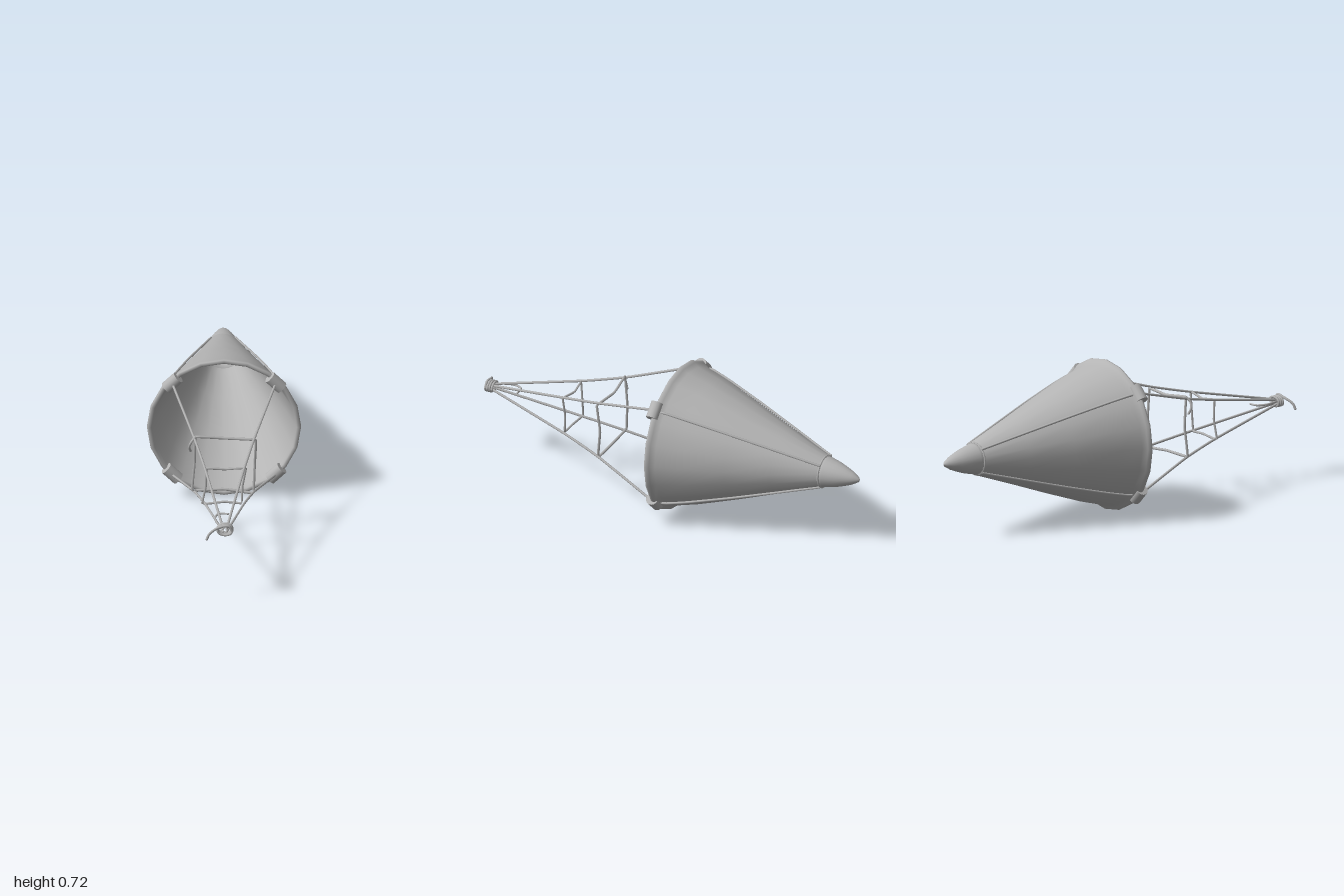
import * as THREE from 'three';

const CY = 0.363; // height of the long axis

export function createModel() {
  const model = new THREE.Group();
  const grey = new THREE.MeshStandardMaterial({ color: 0xb4b4b4, side: THREE.DoubleSide });
  grey.name = 'grey';

  const add = (name, geometry) => {
    const mesh = new THREE.Mesh(geometry, grey);
    mesh.name = name;
    model.add(mesh);
    return mesh;
  };

  // Revolve [radius, distance towards the back] pairs about the long axis
  const lathe = (name, pts, sides) => {
    const g = new THREE.LatheGeometry(pts.map(([r, h]) => new THREE.Vector2(r, h)), sides);
    g.rotateX(-Math.PI / 2);
    g.translate(0, CY, 0);
    return add(name, g);
  };

  // Rope through [x, y, z] points
  const rope = (name, pts, radius = 0.006, closed = false, tension = 0.2, steps = 6) => {
    const curve = new THREE.CatmullRomCurve3(
      pts.map((p) => new THREE.Vector3(...p)), closed, 'catmullrom', tension);
    add(name, new THREE.TubeGeometry(curve, pts.length * steps, radius, 6, closed));
    if (closed) return;
    for (const p of [pts[0], pts[pts.length - 1]]) {
      const end = new THREE.SphereGeometry(radius, 6, 4);
      end.translate(...p);
      add(name + 'End', end);
    }
  };

  // Thin-walled cone, flared into a rolled rim at the mouth
  lathe('cone', [
    [0.335, 0.06], [0.34, 0.046], [0.35, 0.041], [0.359, 0.046], [0.361, 0.056],
    [0.352, 0.068], [0.335, 0.09], [0.303, 0.2], [0.232, 0.4], [0.157, 0.6], [0.077, 0.82],
    [0.068, 0.82], [0.092, 0.75], [0.147, 0.6], [0.222, 0.4], [0.293, 0.2],
    [0.325, 0.09], [0.335, 0.06],
  ], 20);

  // Hollow rounded tip with an inner collar
  lathe('tip', [
    [0.062, 0.8], [0.076, 0.81], [0.073, 0.83], [0.061, 0.88], [0.047, 0.92],
    [0.031, 0.96], [0.013, 0.99], [0, 1],
  ], 20);
  lathe('tipCollar', [[0.09, 0.77], [0.064, 0.78], [0.06, 0.83], [0.03, 0.92]], 20);

  const band = new THREE.TorusGeometry(0.077, 0.005, 6, 20);
  band.translate(0, CY, -0.815);
  add('tipBand', band);

  // Clamps, bridle ropes and back stays on the four diagonals
  for (const sx of [-1, 1]) for (const sy of [-1, 1]) {
    const clamp = add('rimClamp', new THREE.CylinderGeometry(0.03, 0.03, 0.08, 14));
    clamp.position.set(sx * 0.242, CY + sy * 0.242, -0.042);
    clamp.rotation.z = sx * sy * Math.PI / 4;

    rope('bridleRope', [
      [sx * 0.24, CY + sy * 0.242, -0.025],
      [sx * 0.142, CY + sy * 0.143, 0.31],
      [sx * 0.092, CY + sy * 0.094, 0.52],
      [sx * 0.008, CY + sy * 0.008, 0.95],
    ]);

    const stay = [[0.338, 0.06], [0.341, 0.09], [0.308, 0.2], [0.238, 0.4], [0.163, 0.6], [0.081, 0.815]];
    rope('backStay', stay.map(([r, h]) => [sx * r * 0.707, CY + sy * r * 0.707, -h]), 0.0055);
  }

  // Two slack cross ropes tied around the bridle
  rope('outerCrossRope', [
    [-0.135, 0.512, 0.315], [0, 0.496, 0.3], [0.147, 0.495, 0.315], [0.142, 0.36, 0.3],
    [0.135, 0.212, 0.315], [0, 0.228, 0.305], [-0.15, 0.226, 0.315], [-0.139, 0.37, 0.305],
  ], 0.0065, true, 0.05);
  rope('innerCrossRope', [
    [-0.084, 0.456, 0.52], [0, 0.446, 0.51], [0.1, 0.458, 0.52], [0.084, 0.36, 0.515],
    [0.08, 0.27, 0.52], [0, 0.276, 0.515], [-0.105, 0.266, 0.52], [-0.087, 0.36, 0.515],
  ], 0.0055, true, 0.05);
  rope('crossRopeTail', [
    [-0.135, 0.512, 0.315], [-0.155, 0.49, 0.328], [-0.164, 0.463, 0.325], [-0.158, 0.437, 0.315],
  ], 0.006, false, 0.5);

  // Knot where the bridle ropes meet
  const coil = [];
  for (let i = 0; i <= 30; i++) {
    const a = (i / 30) * Math.PI * 6;
    coil.push([0.034 * Math.cos(a), CY + 0.002 + 0.022 * Math.sin(a), 0.93 + 0.035 * i / 30]);
  }
  rope('knotCoil', coil, 0.006, false, 0.5, 4);
  rope('knotTail', [
    [0.034, 0.365, 0.965], [0.015, 0.392, 0.965], [-0.03, 0.385, 0.968],
    [-0.07, 0.365, 0.985], [-0.085, 0.338, 0.993],
  ], 0.006, false, 0.5);
  rope('knotBackTail', [
    [-0.02, 0.37, 0.94], [-0.045, 0.372, 0.86], [-0.03, 0.372, 0.81], [0.015, 0.37, 0.805],
  ], 0.005, false, 0.5);

  return model;
}
